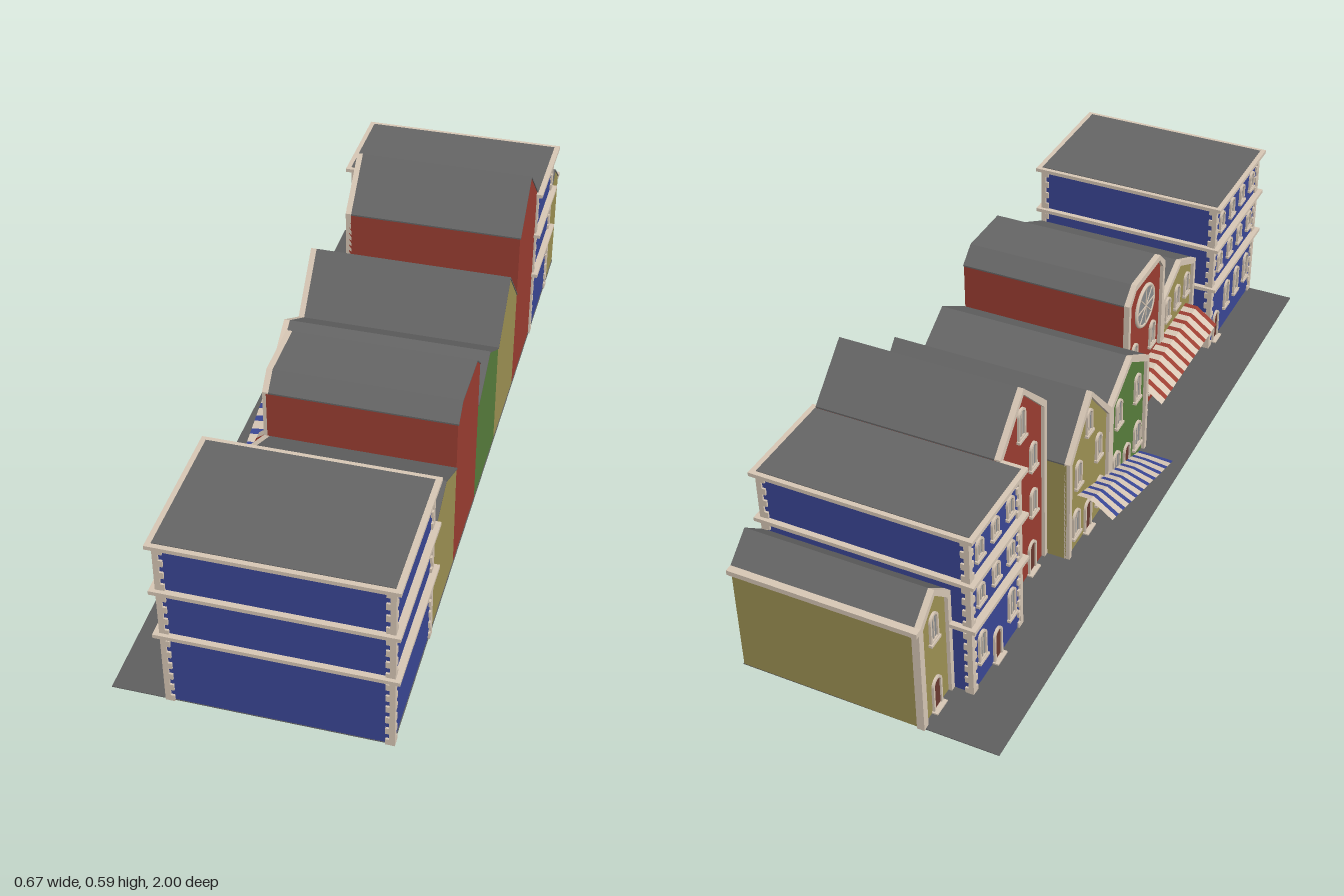
import * as THREE from 'three';

const mat = (color) => new THREE.MeshStandardMaterial({ color, side: THREE.DoubleSide });
const M = {
  blue: mat(0x3a4796), red: mat(0x9c3e32), green: mat(0x587e3c), yellow: mat(0x9e9254),
  cream: mat(0xd8c8b6), roof: mat(0x666666), pane: mat(0x8a8c8e), door: mat(0x6b3a30), ground: mat(0x606060),
};

function add(parent, name, geometry, material) {
  const mesh = new THREE.Mesh(geometry, material);
  mesh.name = name;
  parent.add(mesh);
  return mesh;
}

// box given by its limits on each axis
function box(parent, name, x0, x1, y0, y1, z0, z1, material) {
  const g = new THREE.BoxGeometry(x1 - x0, y1 - y0, z1 - z0);
  g.translate((x0 + x1) / 2, (y0 + y1) / 2, (z0 + z1) / 2);
  return add(parent, name, g, material);
}

// shape drawn in (z, y), extruded from x0 to x1
function slab(parent, name, shape, x0, x1, material) {
  const g = new THREE.ExtrudeGeometry(shape, { depth: x1 - x0, bevelEnabled: false, curveSegments: 8 });
  g.rotateY(-Math.PI / 2);
  g.translate(x1, 0, 0);
  return add(parent, name, g, material);
}

const polygon = (pts) => new THREE.Shape(pts.map(([z, y]) => new THREE.Vector2(z, y)));

function archShape(Path, z, y, w, h) {
  const r = w / 2, p = new Path();
  p.moveTo(z - r, y);
  p.lineTo(z + r, y);
  p.lineTo(z + r, y + h - r);
  p.absarc(z, y + h - r, r, 0, Math.PI, false);
  p.lineTo(z - r, y);
  return p;
}

// arched opening with a raised surround; doors have no sill
function opening(parent, x, z, y, w, h, isDoor = false) {
  const group = new THREE.Group();
  group.name = isDoor ? 'door' : 'window';
  const t = 0.006;
  const surround = archShape(THREE.Shape, z, y, w, h);
  surround.holes.push(archShape(THREE.Path, z, y + (isDoor ? 0.002 : t), w - 2 * t, h - t - (isDoor ? 0.002 : t)));
  slab(group, 'surround', surround, x - 0.006, x + 0.002, M.cream);
  slab(group, 'panel', archShape(THREE.Shape, z, y, w - t, h - t / 2), x - 0.002, x + 0.001, isDoor ? M.door : M.pane);
  if (isDoor) {
    box(group, 'doorStep', x - 0.015, x, 0, 0.006, z - w * 0.6, z + w * 0.6, M.cream);
  } else {
    box(group, 'sill', x - 0.009, x, y - 0.005, y + 0.002, z - w * 0.6, z + w * 0.6, M.cream);
    box(group, 'glazingBar', x - 0.004, x, y, y + h - t, z - 0.0015, z + 0.0015, M.cream);
  }
  parent.add(group);
}

// rows: [base height, window height, window width, offsets from the middle, door offset]
function openings(parent, x, mid, rows) {
  for (const [y, h, w, offsets, door] of rows) {
    for (const o of offsets) opening(parent, x, mid + o, y, w, h);
    if (door !== undefined) opening(parent, x, mid + door, 0.002, 0.04, 0.095, true);
  }
}

// house with a roof outline listed from low z to high z
function gabledHouse(root, name, color, x, top, rows) {
  const house = new THREE.Group();
  house.name = name;
  const z0 = top[0][0], z1 = top[top.length - 1][0], mid = (z0 + z1) / 2, w = 0.014;
  const lowered = top.map(([z, y]) => [z, y - 0.004]);
  slab(house, 'walls', polygon([[z0, 0], ...lowered, [z1, 0]]), x, 0.318, color);
  slab(house, 'roof', polygon([...top, ...lowered.slice().reverse()]), x + 0.006, 0.32, M.roof);
  const inner = top.map(([z, y], i) =>
    [i === 0 ? z + w : i === top.length - 1 ? z - w : z, y - (i === 0 || i === top.length - 1 ? w * 0.7 : w * 1.2)]);
  slab(house, 'facadeTrim',
    polygon([[z0, 0], ...top, [z1, 0], [z1 - w, 0], ...inner.reverse(), [z0 + w, 0]]), x - 0.009, x + 0.006, M.cream);
  openings(house, x, mid, rows);
  root.add(house);
  return house;
}

// flat-roofed block with cornices and alternating corner stones
function blockHouse(root, name, z0, z1, rows) {
  const house = new THREE.Group();
  house.name = name;
  const x0 = -0.2, x1 = 0.318, e = 0.005;
  box(house, 'walls', x0, x1, 0, 0.465, z0, z1, M.blue);
  for (const y of [0.2, 0.33, 0.46])
    box(house, 'cornice', x0 - 0.018, x1 + 0.017, y, y + 0.01, z0 - 0.014, z1 + 0.014, M.cream);
  box(house, 'roof', x0 - 0.005, x1 + 0.003, 0.465, 0.4715, z0 - 0.002, z1 + 0.002, M.roof);
  const step = 0.46 / 27;
  for (let i = 0; i < 27; i++) {
    const s = i % 2 ? 0.013 : 0.022;
    for (const [xa, xb] of [[x0 - e, x0 - e + s], [x1 + e - s, x1 + e]])
      for (const [za, zb] of [[z0 - e, z0 - e + s], [z1 + e - s, z1 + e]])
        box(house, 'cornerStone', xa, xb, i * step, (i + 1) * step, za, zb, M.cream);
  }
  openings(house, x0, (z0 + z1) / 2, rows);
  root.add(house);
}

// striped awning; endScale lets the far end sink towards the pavement
function awning(root, name, x, z0, z1, color, endScale) {
  const group = new THREE.Group();
  group.name = name;
  const profile = [[x - 0.095, 0.125], [x - 0.035, 0.17], [x, 0.17]];
  const periods = 10, len = (z1 - z0) / periods;
  const at = ([px, py], z) => [px, py * (1 + (endScale - 1) * (z - z0) / (z1 - z0)), z];
  const stripe = (a, b, material, stripeName) => {
    const v = [];
    for (let i = 0; i < 2; i++) {
      const p = at(profile[i], a), q = at(profile[i], b), r = at(profile[i + 1], b), s = at(profile[i + 1], a);
      v.push(...p, ...q, ...r, ...p, ...r, ...s);
    }
    const g = new THREE.BufferGeometry();
    g.setAttribute('position', new THREE.Float32BufferAttribute(v, 3));
    g.computeVertexNormals();
    add(group, stripeName, g, material);
  };
  for (let i = 0; i < periods; i++) {
    const a = z0 + i * len;
    stripe(a, a + len * 0.6, M.cream, 'paleStripe');
    stripe(a + len * 0.6, a + len, color, 'colouredStripe');
  }
  root.add(group);
}

export function createModel() {
  const root = new THREE.Group();
  root.name = 'streetOfHouses';
  box(root, 'pavement', -0.335, 0.32, 0, 0.002, -0.985, 0.985, M.ground);

  // flat-roofed blocks
  blockHouse(root, 'largeBlueBlock', 0.64, 0.984, [
    [0.375, 0.055, 0.034, [-0.12, -0.04, 0.04, 0.12]],
    [0.245, 0.055, 0.034, [-0.12, -0.04, 0.04, 0.12]],
    [0.07, 0.085, 0.036, [-0.04, 0.04, 0.12], -0.12]]);
  blockHouse(root, 'smallBlueBlock', -0.845, -0.598, [
    [0.375, 0.055, 0.034, [-0.075, 0, 0.075]],
    [0.245, 0.055, 0.034, [-0.075, 0, 0.075]],
    [0.07, 0.085, 0.036, [-0.075, 0.075], 0]]);

  // gabled houses, from the front end to the back
  gabledHouse(root, 'wideYellowHouse', M.yellow, -0.145, [[0.39, 0.3], [0.51, 0.36], [0.63, 0.3]], [
    [0.21, 0.07, 0.034, [-0.07, 0, 0.07]], [0.04, 0.08, 0.045, [-0.07, 0.07], 0]]);
  const redHouse = gabledHouse(root, 'redHouseWithRoundWindow', M.red, -0.145,
    [[0.145, 0.43], [0.19, 0.47], [0.35, 0.47], [0.39, 0.43]], [
      [0.2, 0.075, 0.036, [-0.06, 0.06]], [0.04, 0.08, 0.045, [-0.07, 0.07], 0]]);
  gabledHouse(root, 'greenHouse', M.green, -0.205, [[-0.1, 0.3], [0.022, 0.375], [0.145, 0.3]], [
    [0.2, 0.08, 0.036, [-0.06, 0.06]], [0.04, 0.08, 0.045, [-0.07, 0.07], 0]]);
  gabledHouse(root, 'tallGableYellowHouse', M.yellow, -0.205, [[-0.35, 0.3], [-0.225, 0.435], [-0.1, 0.3]], [
    [0.31, 0.07, 0.034, [0]], [0.19, 0.075, 0.034, [-0.06, 0.06]], [0.04, 0.08, 0.04, [-0.07, 0.07], 0]]);
  gabledHouse(root, 'tallRedHouse', M.red, -0.145, [[-0.595, 0.475], [-0.472, 0.592], [-0.35, 0.475]], [
    [0.45, 0.085, 0.036, [0]], [0.32, 0.075, 0.034, [-0.06, 0.06]],
    [0.18, 0.075, 0.034, [-0.06, 0.06]], [0.05, 0.08, 0.034, [-0.06], 0.05]]);
  const endHouse = gabledHouse(root, 'endYellowHouse', M.yellow, -0.145,
    [[-0.985, 0.3], [-0.915, 0.36], [-0.845, 0.3]], [
      [0.21, 0.08, 0.036, [0]], [0.05, 0.08, 0.034, [], 0]]);

  // exposed eave at the end of the row
  box(endHouse, 'eave', -0.154, 0.32, 0.29, 0.303, -1.0, -0.98, M.cream);
  box(endHouse, 'cornerPost', -0.154, -0.135, 0, 0.3, -0.99, -0.975, M.cream);

  // round window with spokes
  const round = new THREE.Group();
  round.name = 'roundWindow';
  const disc = new THREE.CylinderGeometry(0.055, 0.055, 0.006, 32);
  disc.rotateZ(Math.PI / 2);
  add(round, 'pane', disc, M.pane);
  const rim = new THREE.TorusGeometry(0.057, 0.006, 6, 32);
  rim.rotateY(Math.PI / 2);
  add(round, 'rim', rim, M.cream);
  for (let i = 0; i < 4; i++) {
    const bar = new THREE.BoxGeometry(0.01, 0.11, 0.003);
    bar.rotateX(i * Math.PI / 4);
    add(round, 'spoke', bar, M.cream);
  }
  round.position.set(-0.147, 0.36, 0.268);
  redHouse.add(round);

  // awnings over the shop fronts
  awning(root, 'redAwning', -0.145, 0.18, 0.59, M.red, 1);
  awning(root, 'blueAwning', -0.21, -0.3, 0.11, M.blue, 0.06);
  return root;
}
